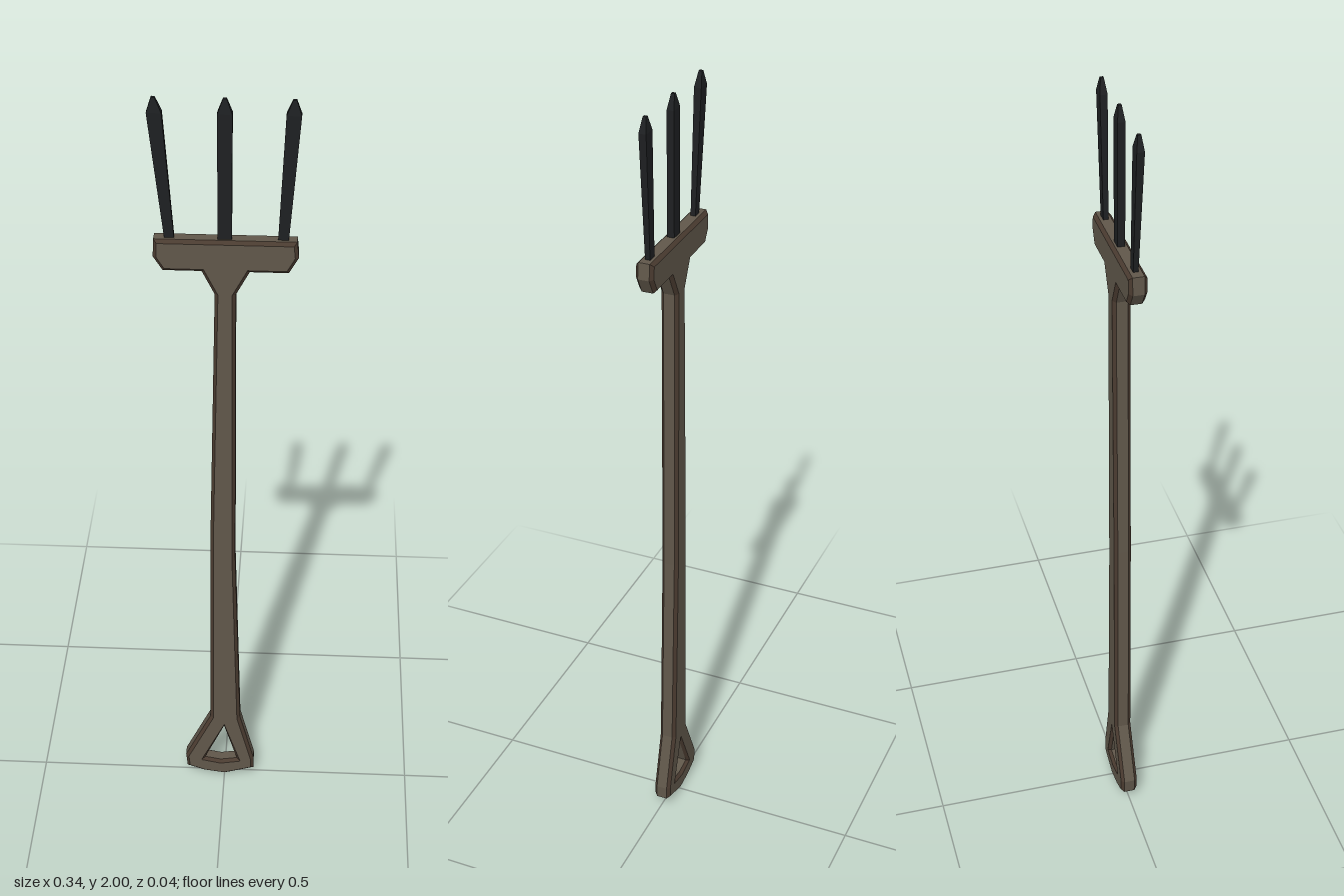
import * as THREE from 'three';

const wood = new THREE.MeshStandardMaterial({ color: 0x60574a, flatShading: true });
wood.name = 'weathered wood';
const edge = new THREE.MeshStandardMaterial({ color: 0x4a3b30, flatShading: true });
edge.name = 'dark wood edge';
const iron = new THREE.MeshStandardMaterial({ color: 0x1e2022, flatShading: true });
iron.name = 'black iron';

const points = (list) => list.map(([x, y]) => new THREE.Vector2(x, y));

// Wooden head, shaft and looped grip: one chamfered slab
function makeHandle() {
  const shape = new THREE.Shape(points([
    [-0.163, 1.66], [-0.165, 1.615], [-0.143, 1.58], [-0.053, 1.58], [-0.023, 1.52],
    [-0.036, 0.8], [-0.038, 0.21], [-0.106, 0.065], [-0.102, 0.025], [-0.055, 0.008],
    [0.0, 0.0], [0.08, 0.025], [0.08, 0.06], [0.042, 0.21], [0.027, 0.76],
    [0.026, 1.52], [0.058, 1.58], [0.148, 1.58], [0.17, 1.62], [0.166, 1.66],
  ]));
  shape.holes.push(new THREE.Path(points([
    [-0.001, 0.175], [0.034, 0.058], [-0.01, 0.05], [-0.053, 0.058],
  ])));
  const bevel = 0.008;
  const geo = new THREE.ExtrudeGeometry(shape, {
    depth: 0.028, steps: 1, bevelEnabled: true, bevelSegments: 1,
    bevelSize: bevel, bevelOffset: -bevel, bevelThickness: bevel,
  });
  geo.translate(0, 0, -0.014);

  // Sort triangles: flat faces are wood, slanted chamfers are the dark edge
  const flat = [], slanted = [];
  const normal = geo.attributes.normal;
  for (let i = 0; i < normal.count; i += 3) {
    const nz = Math.abs(normal.getZ(i));
    (nz > 0.1 && nz < 0.9 ? slanted : flat).push(i, i + 1, i + 2);
  }
  geo.setIndex([...flat, ...slanted]);
  geo.clearGroups();
  geo.addGroup(0, flat.length, 0);
  geo.addGroup(flat.length, slanted.length, 1);
  const mesh = new THREE.Mesh(geo, [wood, edge]);
  mesh.name = 'handleAndHead';
  return mesh;
}

// Tine from three sections, base to tip: [x, y, half width, half depth]
function makeTine(name, sections) {
  const geo = new THREE.BoxGeometry(2, 2, 2, 1, 2, 1);
  const p = geo.attributes.position;
  for (let i = 0; i < p.count; i++) {
    const [x, y, w, d] = sections[Math.round(p.getY(i)) + 1];
    p.setXYZ(i, x + p.getX(i) * w, y, p.getZ(i) * d);
  }
  geo.computeVertexNormals();
  const mesh = new THREE.Mesh(geo, iron);
  mesh.name = name;
  return mesh;
}

export function createModel() {
  const model = new THREE.Group();
  model.name = 'pitchfork';
  model.add(
    makeHandle(),
    makeTine('rightTine', [[-0.126, 1.645, 0.011, 0.006], [-0.156, 1.965, 0.017, 0.009], [-0.158, 2, 0.004, 0.004]]),
    makeTine('centreTine', [[0, 1.645, 0.016, 0.009], [0, 1.965, 0.017, 0.009], [0, 2, 0.004, 0.004]]),
    makeTine('leftTine', [[0.133, 1.645, 0.012, 0.006], [0.152, 1.965, 0.017, 0.009], [0.153, 2, 0.004, 0.004]]),
  );
  return model;
}
